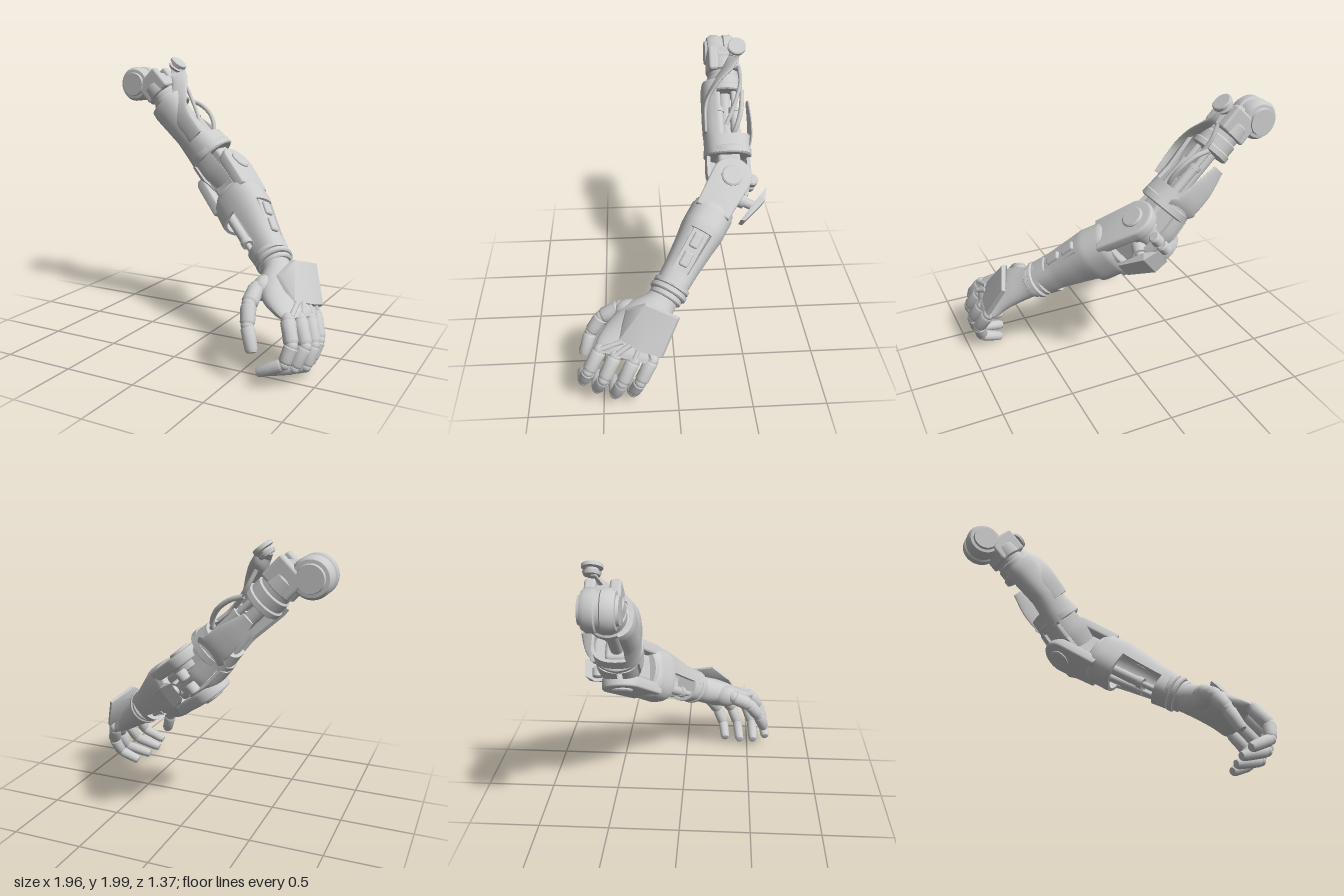
import * as THREE from 'three';
import { toCreasedNormals } from 'three/addons/utils/BufferGeometryUtils.js';
import { RoundedBoxGeometry } from 'three/addons/geometries/RoundedBoxGeometry.js';
import { ConvexGeometry } from 'three/addons/geometries/ConvexGeometry.js';

const grey = new THREE.MeshStandardMaterial({ color: 0xcccccc, side: THREE.DoubleSide });
const V = (x, y, z) => new THREE.Vector3(x, y, z);
const UP = V(0, 1, 0);

function crease(geo, angle = 0.6) {
  return toCreasedNormals(geo.scale(100, 100, 100), angle).scale(0.01, 0.01, 0.01);
}

function add(parent, name, geo, x = 0, y = 0, z = 0) {
  const m = new THREE.Mesh(geo, grey);
  m.name = name;
  m.position.set(x, y, z);
  parent.add(m);
  return m;
}

// Group whose y runs along dir and whose x leans towards side
function frame(parent, name, origin, dir, side) {
  const g = new THREE.Group();
  const y = dir.clone().normalize();
  const z = side.clone().cross(y).normalize();
  g.quaternion.setFromRotationMatrix(new THREE.Matrix4().makeBasis(y.clone().cross(z), y, z));
  g.position.copy(origin);
  g.name = name;
  parent.add(g);
  return g;
}

const turned = (pts, seg = 32) =>
  crease(new THREE.LatheGeometry(pts.map(p => new THREE.Vector2(p[0], p[1])), seg));

// Turned part between two points; profile is [radius, fraction of length]
function rod(parent, name, a, b, profile, seg = 24) {
  const d = b.clone().sub(a), len = d.length();
  const m = add(parent, name, turned(profile.map(([r, t]) => [r, t * len]), seg), a.x, a.y, a.z);
  m.quaternion.setFromUnitVectors(UP, d.normalize());
}

const tube = (pts, r) => new THREE.TubeGeometry(new THREE.CatmullRomCurve3(pts), 32, r, 10);

// Skin over a grid of points; with hollow set it gets a wall and rims round its openings
function skin(rows, cols, at, keep = () => true, hollow = true) {
  const pos = [];
  const quad = (a, b, c, d) => [a, b, c, a, c, d].forEach(p => pos.push(p.x, p.y, p.z));
  const kept = (i, j) => i >= 0 && i < rows && keep(i, (j + cols) % cols);
  for (let i = 0; i < rows; i++) for (let j = 0; j < cols; j++) {
    if (!kept(i, j)) continue;
    const corners = k => [at(i, j, k), at(i + 1, j, k), at(i + 1, j + 1, k), at(i, j + 1, k)];
    const o = corners(0);
    quad(...o);
    if (!hollow) continue;
    const n = corners(1);
    quad(n[3], n[2], n[1], n[0]);
    [[i, j - 1], [i + 1, j], [i, j + 1], [i - 1, j]].forEach(([p, q], e) => {
      const f = (e + 1) % 4;
      if (!kept(p, q)) quad(o[f], o[e], n[e], n[f]);
    });
  }
  const geo = new THREE.BufferGeometry();
  geo.setAttribute('position', new THREE.Float32BufferAttribute(pos, 3));
  return crease(geo);
}

// Boxy-oval hollow casing from sections [t, halfX, halfZ]
function casing(sections, rows, cols, wall, keep) {
  const t0 = sections[0][0], t1 = sections.at(-1)[0];
  const bow = c => Math.sign(c) * Math.abs(c) ** 0.8;
  return skin(rows, cols, (i, j, k) => {
    const t = t0 + (t1 - t0) * i / rows;
    let s = 0;
    while (s < sections.length - 2 && t > sections[s + 1][0]) s++;
    const [p, q] = [sections[s], sections[s + 1]], f = (t - p[0]) / (q[0] - p[0]);
    const w = j / cols * Math.PI * 2;
    const a = p[1] + (q[1] - p[1]) * f - k * wall, b = p[2] + (q[2] - p[2]) * f - k * wall;
    return V(a * bow(Math.cos(w)), t, b * bow(Math.sin(w)));
  }, keep);
}

// Solid smooth body through sections {centre, half-width vector, half-thickness vector}
function body(sections, rows = 24, cols = 28) {
  const [c, u, v] = [0, 1, 2].map(k => new THREE.CatmullRomCurve3(sections.map(s => V(...s[k]))));
  return skin(rows + 2, cols, (i, j) => {
    const t = THREE.MathUtils.clamp((i - 1) / rows, 0, 1), w = j / cols * Math.PI * 2;
    const s = i === 0 || i === rows + 2 ? 0 : 1;
    return c.getPoint(t).addScaledVector(u.getPoint(t), s * Math.cos(w)).addScaledVector(v.getPoint(t), s * Math.sin(w));
  }, undefined, false);
}

const band = (r, h) => turned([[0, -h], [r - 0.01, -h], [r, -h + 0.008], [r, h - 0.008], [r - 0.01, h], [0, h]]);
const pistonProfile = r => [[0, 0], [r, 0], [r, 0.55], [r * 1.2, 0.55], [r * 1.2, 0.62], [r * 0.6, 0.62],
  [r * 0.6, 0.9], [r, 0.9], [r, 1], [0, 1]];

export function createModel() {
  const arm = new THREE.Group();
  arm.name = 'mechanicalArm';

  // Shoulder joint: a grooved drum with raised caps
  const half = [[0.118, 0.012], [0.13, 0.02], [0.13, 0.07], [0.112, 0.098], [0.09, 0.1], [0.085, 0.118], [0, 0.118]];
  const drum = add(arm, 'shoulderDrum', turned([...half.map(([r, h]) => [r, -h]).reverse(), ...half], 40), -0.85, 1.79, -0.425);
  drum.rotation.x = Math.PI / 2;
  add(arm, 'shoulderBlock', new RoundedBoxGeometry(0.2, 0.17, 0.13, 3, 0.03), -0.74, 1.79, -0.425);

  // Upper arm, local y down the arm, x outward, z to the back
  const upper = frame(arm, 'upperArm', V(-0.57, 1.645, -0.425), V(0.69, -0.72, 0), V(0.72, 0.69, 0));
  add(upper, 'neck', turned([[0, -0.2], [0.1, -0.2], [0.12, -0.18], [0.125, -0.1], [0.108, -0.09], [0.108, -0.06],
    [0.12, -0.05], [0.12, 0.05], [0, 0.05]]));
  for (const z of [-0.075, 0.075]) add(upper, 'neckLug', new RoundedBoxGeometry(0.22, 0.18, 0.07, 2, 0.02), 0.01, -0.18, z);
  // Front panel that widens into a full ring above the elbow
  add(upper, 'upperCasing', casing([[-0.01, 0.15, 0.16], [0.04, 0.155, 0.17], [0.3, 0.135, 0.172], [0.42, 0.15, 0.165],
    [0.53, 0.165, 0.165]], 24, 32, 0.022, (i, j) => i > 17 || (j > 17 && j < 30)));
  add(upper, 'upperCollar', band(0.132, 0.025), 0, 0.04);
  add(upper, 'elbowCollar', band(0.172, 0.03), 0, 0.51);
  add(upper, 'core', turned([[0, 0], [0.045, 0], [0.045, 0.48], [0, 0.48]], 20), -0.02);
  for (const z of [-0.055, 0.06])
    rod(upper, 'upperPiston', V(0.06, 0.46, z), V(0.05, 0.02, z), pistonProfile(0.034));
  // Slatted cover below the elbow
  add(upper, 'elbowCover', casing([[0.52, 0.175, 0.16], [0.66, 0.188, 0.165], [0.82, 0.15, 0.13]], 10, 40, 0.025,
    (i, j) => j > 9 && j < 33 && j % 6 !== 2));
  add(upper, 'elbowTongue', new RoundedBoxGeometry(0.2, 0.28, 0.16, 3, 0.03), 0, 0.6);

  // Sweeping strap with its round cap
  add(arm, 'strap', body([
    [[-0.57, 1.93, -0.51], [0.04, 0.01, -0.03], [0.01, 0.015, 0.015]],
    [[-0.51, 1.82, -0.45], [0.045, 0.03, -0.04], [-0.012, -0.008, -0.02]],
    [[-0.46, 1.7, -0.34], [0.06, 0.05, -0.03], [-0.008, -0.008, -0.018]],
    [[-0.4, 1.56, -0.275], [0.06, 0.06, 0], [0, 0, -0.02]],
    [[-0.27, 1.41, -0.265], [0.05, 0.05, 0], [0, 0, -0.015]]], 28));
  const cap = frame(arm, 'strapCap', V(-0.565, 1.935, -0.505), V(0.62, 0.78, 0), V(0.78, -0.62, 0));
  add(cap, 'capDisc', turned([[0, -0.035], [0.05, -0.035], [0.058, -0.015], [0.04, -0.01], [0.04, 0.005], [0.066, 0.01],
    [0.066, 0.03], [0.058, 0.036], [0, 0.036]]));

  // Cables and the thin rear plate
  add(arm, 'cable', tube([V(-0.45, 1.66, -0.54), V(-0.36, 1.63, -0.53), V(-0.27, 1.56, -0.51), V(-0.22, 1.46, -0.47),
    V(-0.24, 1.39, -0.44)], 0.017));
  add(arm, 'rearCable', tube([V(-0.52, 1.82, -0.52), V(-0.47, 1.72, -0.53), V(-0.39, 1.6, -0.49), V(-0.3, 1.47, -0.42)], 0.014));
  add(arm, 'rearPlate', body([
    [[-0.5, 1.54, -0.595], [0.03, 0.03, 0], [0, 0, -0.012]],
    [[-0.38, 1.42, -0.6], [0.06, 0.06, 0], [0, 0, -0.012]],
    [[-0.28, 1.33, -0.59], [0.07, 0.07, 0], [0, 0, -0.012]],
    [[-0.22, 1.28, -0.56], [0.07, 0.07, 0], [0, 0, -0.012]]]));

  // Forearm, local y towards the wrist, x to the back of the hand, z to the rear
  const fore = frame(arm, 'forearm', V(0.08, 0.97, -0.29), V(0.45, -0.34, 0.34), V(0.7, 0.7, 0));

  // Elbow hinge with side brackets, t = -0.25 is the pivot
  const hinge = add(fore, 'hingeBarrel', turned([[0, -0.16], [0.1, -0.16], [0.115, -0.14], [0.115, -0.06], [0.1, -0.05],
    [0.1, 0.05], [0.115, 0.06], [0.115, 0.14], [0.1, 0.16], [0, 0.16]]), 0, -0.25);
  hinge.rotation.z = Math.PI / 2;
  const shape = new THREE.Shape();
  shape.moveTo(0.11, 0.03);
  shape.lineTo(0.125, -0.25);
  shape.absarc(0, -0.25, 0.125, 0, Math.PI, true);
  shape.lineTo(-0.11, 0.03);
  const plate = new THREE.ExtrudeGeometry(shape, { depth: 0.05, bevelSize: 0.015, bevelThickness: 0.015, bevelSegments: 3, curveSegments: 20 });
  const bracket = crease(plate.translate(0, 0, -0.025).rotateY(Math.PI / 2));
  for (const s of [-1, 1]) {
    add(fore, 'elbowBracket', bracket, s * 0.14);
    add(fore, 'elbowCap', band(0.075, 0.012), s * 0.185, -0.25).rotation.z = Math.PI / 2;
  }
  add(fore, 'elbowLink', new RoundedBoxGeometry(0.2, 0.24, 0.17, 3, 0.03), 0, -0.08);

  // Rear elbow guard and its mount
  add(fore, 'elbowGuard', crease(new ConvexGeometry([V(-0.06, -0.35, 0.25), V(0.06, -0.35, 0.25), V(-0.075, -0.25, 0.285),
    V(0.075, -0.25, 0.285), V(-0.06, -0.05, 0.23), V(0.06, -0.05, 0.23), V(-0.085, -0.26, 0.235), V(0.085, -0.26, 0.235),
    V(-0.05, -0.04, 0.2), V(0.05, -0.04, 0.2)]), 0.3));
  rod(fore, 'guardMount', V(0, -0.18, 0.08), V(0, -0.2, 0.25), [[0, 0], [0.05, 0], [0.05, 0.5], [0.035, 0.5], [0.035, 1], [0, 1]]);
  for (const x of [-0.05, 0.05]) add(fore, 'guardBarrel', band(0.04, 0.035), x, -0.34, 0.14).rotation.z = Math.PI / 2;

  // Forearm casing with its underside open over the pistons and a window for the side panel
  add(fore, 'forearmCasing', casing([[-0.03, 0.17, 0.135], [0.01, 0.195, 0.155], [0.16, 0.2, 0.155], [0.28, 0.178, 0.138],
    [0.46, 0.142, 0.12], [0.62, 0.125, 0.112]], 30, 40, 0.022, (i, j) => {
    const bay = i > 9 && i < 25 && j > 11 && j < 30;
    const window = i > 10 && i < 25 && (j < 3 || j > 36);
    return !bay && !window;
  }));
  add(fore, 'forearmCollar', band(0.178, 0.025), 0, -0.015).scale.z = 0.82;
  const panel = add(fore, 'sidePanel', new RoundedBoxGeometry(0.02, 0.34, 0.12, 2, 0.008), 0.135, 0.35);
  panel.rotation.z = 0.2;
  for (const t of [0.28, 0.42])
    add(fore, 'panelButton', new RoundedBoxGeometry(0.04, 0.11, 0.065, 3, 0.015), 0.145 - (t - 0.35) * 0.2, t).rotation.z = 0.2;
  rod(fore, 'forearmPiston', V(-0.1, 0.08, -0.06), V(-0.085, 0.62, -0.04), pistonProfile(0.035));
  rod(fore, 'forearmPiston', V(-0.1, 0.08, 0.04), V(-0.08, 0.62, 0.03), pistonProfile(0.028));

  // Wrist rings
  [[0.6, 0.128], [0.645, 0.132], [0.685, 0.115]].forEach(([t, r]) => add(fore, 'wristRing', band(r, 0.02), 0, t));

  // Hand
  const hand = new THREE.Group();
  hand.name = 'hand';
  arm.add(hand);
  add(hand, 'palm', body([
    [[0.5, 0.65, 0.02], [-0.035, 0.035, 0.08], [0.065, 0.075, -0.005]],
    [[0.56, 0.6, 0.09], [-0.04, 0.04, 0.09], [0.065, 0.075, 0]],
    [[0.63, 0.54, 0.19], [-0.07, 0.05, 0.13], [0.085, 0.065, 0.013]],
    [[0.72, 0.46, 0.28], [-0.08, 0.05, 0.17], [0.085, 0.052, 0.014]],
    [[0.81, 0.4, 0.33], [-0.05, 0.05, 0.2], [0.066, 0.04, 0.012]],
    [[0.85, 0.38, 0.35], [-0.04, 0.045, 0.19], [0.042, 0.025, 0.01]]]));
  const thenar = add(hand, 'thumbBase', new THREE.SphereGeometry(0.085, 24, 16), 0.57, 0.53, 0.31);
  thenar.scale.set(0.85, 1, 1.2);

  // Plate on the back of the hand
  const rim = [V(0.71, 0.71, 0.2), V(0.785, 0.64, -0.02), V(0.885, 0.39, 0.1), V(0.87, 0.43, 0.24), V(0.79, 0.48, 0.385), V(0.66, 0.63, 0.33)];
  const mid = rim.reduce((s, p) => s.add(p), V(0, 0, 0)).divideScalar(rim.length);
  const top = rim.map(p => p.clone().lerp(mid, 0.06).add(V(0.024, 0.012, 0.005)));
  add(hand, 'handPlate', crease(new ConvexGeometry([...rim, ...top]), 0.7));

  // Fingers: three tapered bones each, with a tendon rod at the knuckle
  const bone = (r, s) => [[0, 0], [r * 0.8, 0.02], [r, 0.12], [r * 0.95, 0.5], [s * 1.08, 0.85], [s * 0.85, 0.97], [0, 1]];
  function finger(name, joints, r) {
    const g = new THREE.Group();
    g.name = name;
    hand.add(g);
    for (let k = 0; k < 3; k++) {
      const a = V(...joints[k]), b = V(...joints[k + 1]);
      rod(g, 'bone', a, b, bone(r * (1 - k * 0.1), r * (0.9 - k * 0.12)), 14);
      add(g, 'joint', new THREE.SphereGeometry(r * (0.88 - k * 0.08), 16, 12), a.x, a.y, a.z);
    }
  }
  const fingers = {
    indexFinger: [[0.82, 0.42, 0.51], [0.88, 0.29, 0.59], [0.85, 0.18, 0.63], [0.68, 0.1, 0.65]],
    middleFinger: [[0.86, 0.4, 0.41], [0.93, 0.26, 0.49], [0.88, 0.13, 0.54], [0.67, 0.07, 0.55]],
    ringFinger: [[0.88, 0.37, 0.29], [0.94, 0.23, 0.37], [0.91, 0.1, 0.42], [0.7, 0.05, 0.44]],
    littleFinger: [[0.87, 0.36, 0.17], [0.93, 0.22, 0.25], [0.9, 0.1, 0.3], [0.75, 0.035, 0.32]],
  };
  for (const [name, joints] of Object.entries(fingers)) {
    finger(name, joints, 0.05);
    const k = V(...joints[0]);
    rod(hand, 'tendon', k.clone().add(V(0.02, 0.02, 0)), k.clone().lerp(mid, 0.5).add(V(0.02, 0, 0)), [[0, 0], [0.018, 0], [0.018, 1], [0, 1]], 12);
  }
  finger('thumb', [[0.545, 0.54, 0.37], [0.55, 0.47, 0.5], [0.58, 0.36, 0.58], [0.64, 0.21, 0.635]], 0.057);

  return arm;
}
